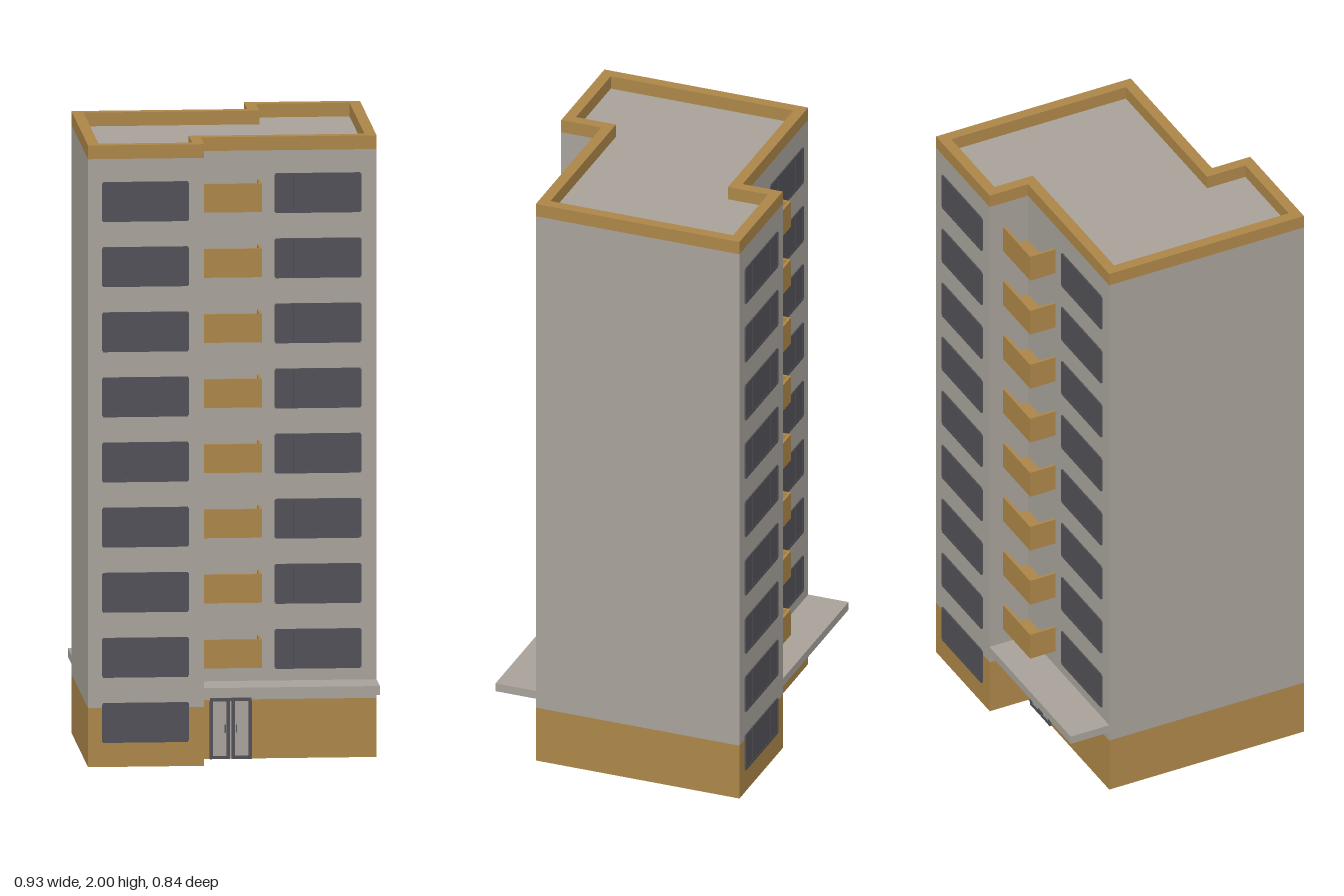
import * as THREE from 'three';

const mat = (name, color) => {
  const m = new THREE.MeshStandardMaterial({ color });
  m.name = name;
  return m;
};

export function createModel() {
  const wall = mat('grey wall', 0xa8a29a);
  const ochre = mat('ochre', 0xac8648);
  const dark = mat('dark window', 0x525157);

  const model = new THREE.Group();
  model.name = 'apartmentBlock';

  // Stepped footprint: half outline, repeated turned by 180 degrees
  const outline = (x, step, deep, shallow) => {
    const half = [[-x, deep], [step, deep], [step, shallow], [x, shallow]];
    return [...half, ...half.map(([a, b]) => [-a, -b])].map(([a, b]) => new THREE.Vector2(a, -b));
  };
  const outer = outline(0.465, -0.095, 0.417, 0.28);
  const inner = outline(0.429, -0.131, 0.381, 0.244);

  const storey = (name, y0, y1, materials, hole) => {
    const shape = new THREE.Shape(outer);
    if (hole) shape.holes.push(new THREE.Path(hole));
    const geo = new THREE.ExtrudeGeometry(shape, { depth: y1 - y0, bevelEnabled: false });
    geo.rotateX(-Math.PI / 2);
    const mesh = new THREE.Mesh(geo, materials);
    mesh.position.y = y0;
    mesh.name = name;
    model.add(mesh);
  };
  storey('base', 0, 0.19, [wall, ochre]);
  storey('tower', 0.19, 1.956, wall);
  storey('parapet', 1.956, 2, ochre, inner);

  // Box given by its limits
  const box = (parent, name, material, x0, x1, y0, y1, z0, z1) => {
    const mesh = new THREE.Mesh(new THREE.BoxGeometry(x1 - x0, y1 - y0, z1 - z0), material);
    mesh.position.set((x0 + x1) / 2, (y0 + y1) / 2, (z0 + z1) / 2);
    mesh.name = name;
    parent.add(mesh);
  };

  // Window: thin dark plate with slightly proud frame bars
  const addWindow = (parent, x, y, z) => {
    const g = new THREE.Group();
    g.name = 'window';
    const w = 0.135, h = 0.06;
    box(g, 'pane', dark, -w, w, -h, h, -0.002, 0.002);
    for (const s of [-1, 1]) {
      box(g, 'rail', dark, -w, w, s * h - 0.004, s * h + 0.004, -0.002, 0.003);
      box(g, 'stile', dark, s * w - 0.004, s * w + 0.004, -h, h, -0.002, 0.003);
      box(g, 'mullion', dark, s * 0.075 - 0.004, s * 0.075 + 0.004, -h, h, -0.002, 0.003);
    }
    g.position.set(x, y, z);
    parent.add(g);
  };

  // Balcony: open tray between the wing and the wall
  const addBalcony = (parent, y) => {
    const g = new THREE.Group();
    g.name = 'balcony';
    box(g, 'balconyFloor', ochre, -0.095, 0.093, y, y + 0.012, 0.28, 0.37);
    box(g, 'balconyFront', ochre, -0.095, 0.093, y + 0.012, y + 0.092, 0.361, 0.37);
    box(g, 'balconySide', ochre, 0.084, 0.093, y + 0.012, y + 0.092, 0.28, 0.361);
    parent.add(g);
  };

  // Double entrance door
  const addDoor = (parent) => {
    const g = new THREE.Group();
    g.name = 'door';
    box(g, 'doorPanel', wall, -0.062, 0.062, 0.003, 0.19, 0.28, 0.283);
    box(g, 'doorHead', dark, -0.066, 0.066, 0.186, 0.196, 0.28, 0.287);
    for (const s of [-1, 1]) {
      box(g, 'doorJamb', dark, s * 0.062 - 0.005, s * 0.062 + 0.005, 0, 0.186, 0.28, 0.287);
      box(g, 'meetingStile', dark, s * 0.008 - 0.005, s * 0.008 + 0.005, 0, 0.186, 0.28, 0.286);
      box(g, 'bottomRail', dark, s * 0.035 - 0.027, s * 0.035 + 0.027, 0, 0.01, 0.28, 0.286);
      box(g, 'handle', dark, s * 0.018 - 0.002, s * 0.018 + 0.002, 0.085, 0.11, 0.28, 0.289);
    }
    parent.add(g);
  };

  // Identical front and back facades
  for (const turn of [0, Math.PI]) {
    const facade = new THREE.Group();
    facade.name = turn ? 'backFacade' : 'frontFacade';
    for (let i = 0; i < 9; i++) {
      const y = 0.142 + i * 0.2095;
      addWindow(facade, -0.282, y, 0.418);
      if (i === 0) continue;
      addWindow(facade, 0.278, y, 0.281);
      addBalcony(facade, y - 0.046);
    }
    addDoor(facade);
    box(facade, 'canopy', wall, -0.095, 0.465, 0.222, 0.25, 0.28, 0.418);
    facade.rotation.y = turn;
    model.add(facade);
  }
  return model;
}
